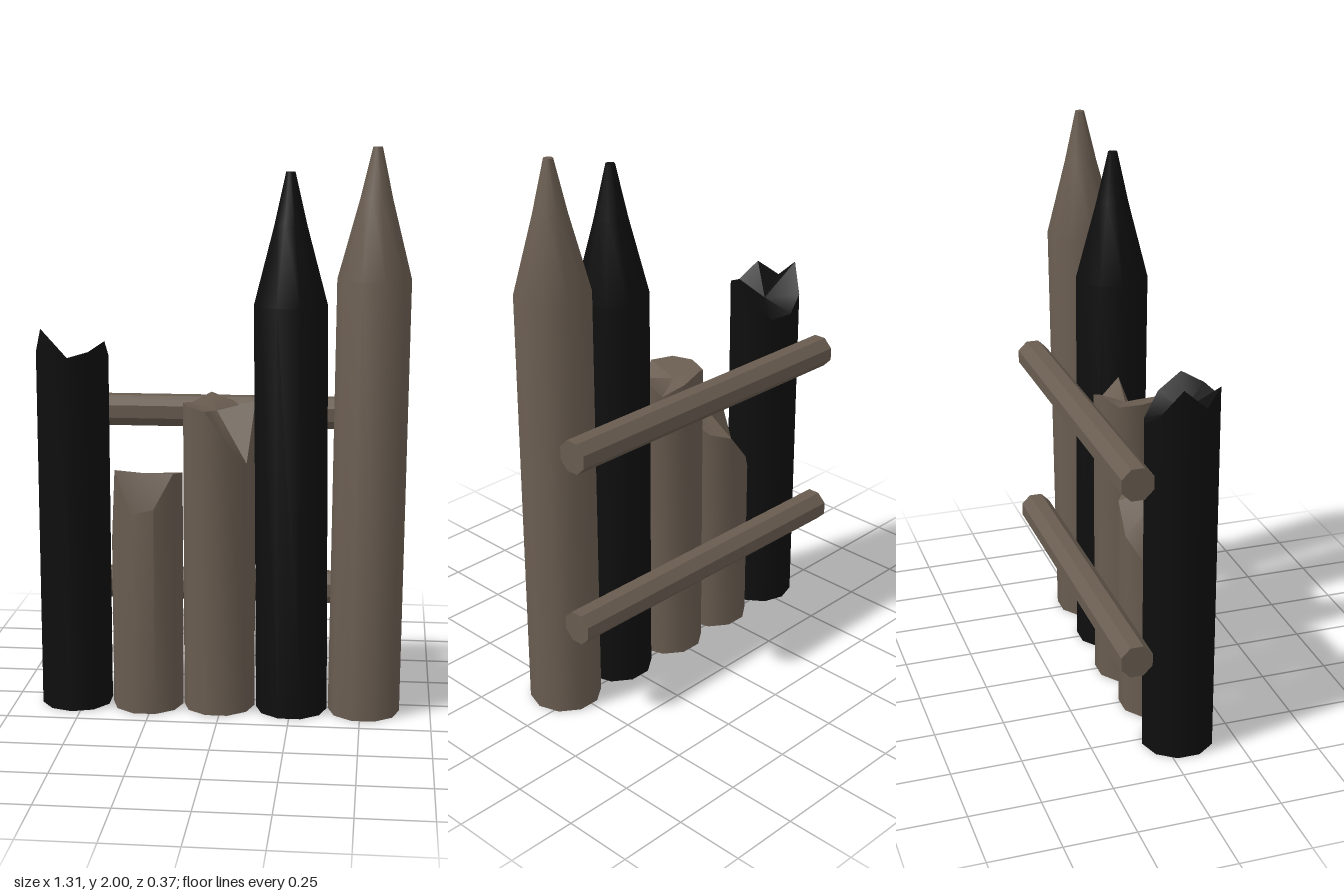
import * as THREE from 'three';
import { toCreasedNormals } from 'three/addons/utils/BufferGeometryUtils.js';

const SIDES = 10;
const R = 0.128;

// Ten-sided log turned from a [radius, height] profile
function log(profile, startAngle) {
  const points = profile.map(([r, y]) => new THREE.Vector2(r, y));
  return new THREE.LatheGeometry(points, SIDES, startAngle);
}

// Log that leans by a small offset per unit of height
function pointedPost(base, lean, shoulder, top) {
  const mid = shoulder + (top - shoulder) * 0.6;
  const geo = log([[0, 0], [R, 0], [R, shoulder], [0.057, mid], [0.016, top], [0, top]], Math.PI / 10);
  const p = geo.attributes.position;
  for (let i = 0; i < p.count; i++) {
    const y = p.getY(i);
    p.setX(i, p.getX(i) + base[0] + lean[0] * y);
    p.setZ(i, p.getZ(i) + base[1] + lean[1] * y);
  }
  return toCreasedNormals(geo, 0.7);
}

// Log snapped off: one rim height per corner, counted from the front round to +x
function brokenPost(base, startAngle, rim, apex) {
  const geo = log([[0, 0], [R, 0], [R, 1], [0, 1]], startAngle);
  const p = geo.attributes.position;
  for (let i = 0; i <= SIDES; i++) {
    p.setY(i * 4 + 2, rim[i % SIDES]);
    p.setXYZ(i * 4 + 3, ...apex);
  }
  geo.translate(base[0], 0, base[1]);
  return toCreasedNormals(geo, 0.7);
}

export function createModel() {
  const group = new THREE.Group();
  const wood = new THREE.MeshStandardMaterial({ color: 0x695c50 });
  wood.name = 'weathered wood';
  const charred = new THREE.MeshStandardMaterial({ color: 0x0e0e0e });
  charred.name = 'charred wood';

  const add = (name, geo, material) => {
    const mesh = new THREE.Mesh(geo, material);
    mesh.name = name;
    group.add(mesh);
    return mesh;
  };

  // Snapped posts
  add('charredBrokenPost', brokenPost([-0.53, 0.055], 0,
    [1.28, 1.30, 1.33, 1.27, 1.20, 1.21, 1.26, 1.36, 1.29, 1.34], [0, 1.24, 0]), charred);
  add('shortBrokenPost', brokenPost([-0.268, 0.06], Math.PI / 10,
    [0.75, 0.87, 0.86, 0.82, 0.80, 0.70, 0.62, 0.61, 0.88, 0.73], [0, 0.87, 0.07]), wood);
  add('middleBrokenPost', brokenPost([-0.01, 0.052], Math.PI / 10,
    [0.99, 0.91, 1.12, 1.06, 1.10, 1.13, 1.10, 1.11, 1.11, 1.10], [-0.01, 1.08, -0.02]), wood);

  // Sharpened posts
  add('charredPointedPost', pointedPost([0.252, 0.06], [-0.008, 0.005], 1.46, 1.915), charred);
  add('tallPointedPost', pointedPost([0.512, 0.058], [0.009, -0.009], 1.55, 2), wood);

  // Eight-sided rails along the back
  for (const [name, y] of [['lowerRail', 0.4], ['upperRail', 1.05]]) {
    const geo = new THREE.CylinderGeometry(0.06, 0.06, 1.255, 8, 1, false, Math.PI / 8);
    geo.rotateZ(Math.PI / 2);
    add(name, toCreasedNormals(geo, 0.5), wood).position.set(-0.008, y, -0.13);
  }
  return group;
}
